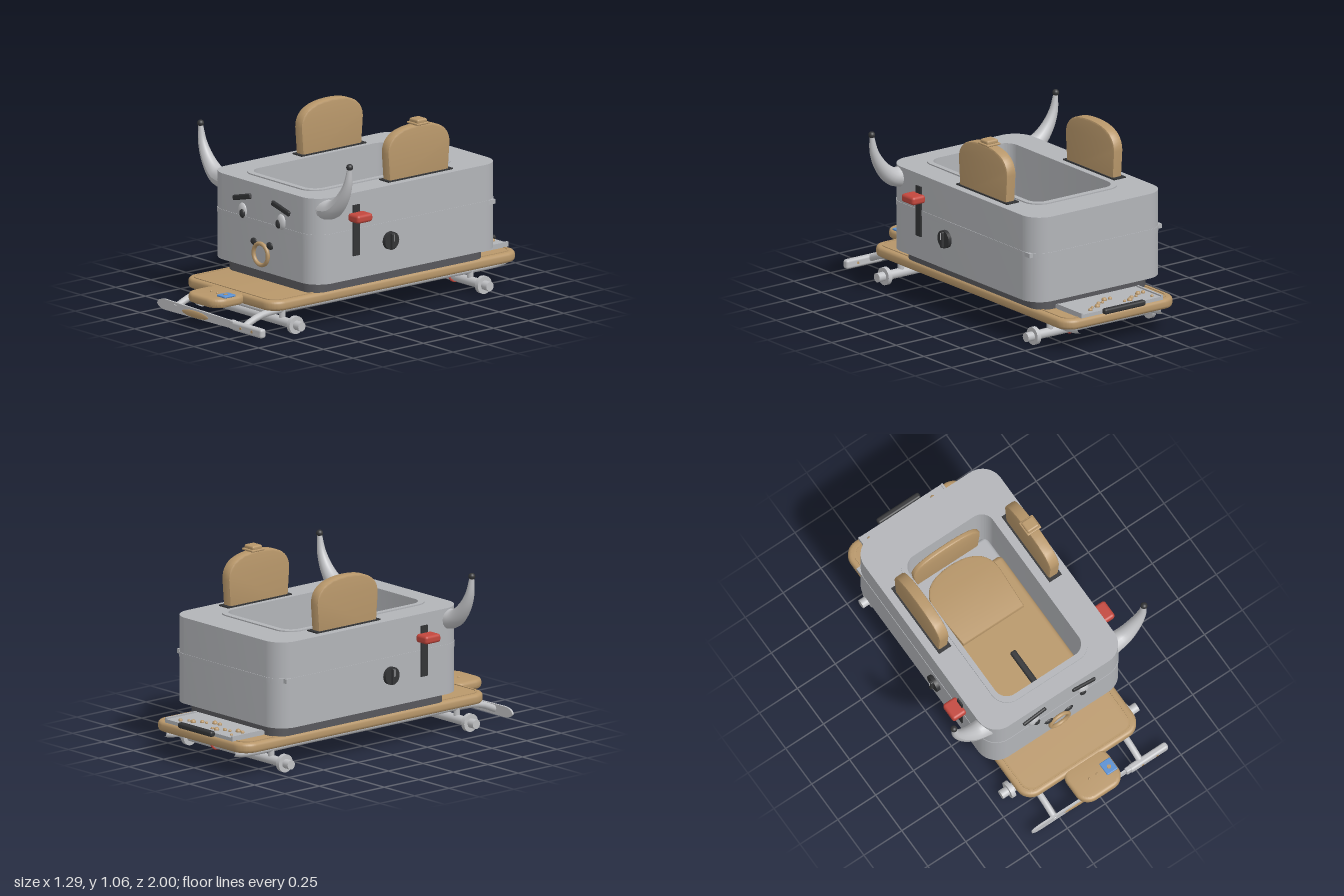
import * as THREE from 'three';
import { toCreasedNormals } from 'three/addons/utils/BufferGeometryUtils.js';
import { RoundedBoxGeometry } from 'three/addons/geometries/RoundedBoxGeometry.js';

const paint = (name, color) => Object.assign(new THREE.MeshStandardMaterial({ color }), { name });

// Rounded rectangle in plan; the shape's y is minus z
function planRect(Kind, hw, z0, z1, r) {
  const s = new Kind(), a = -z1, b = -z0;
  s.moveTo(-hw + r, a);
  s.lineTo(hw - r, a); s.absarc(hw - r, a + r, r, -Math.PI / 2, 0, false);
  s.lineTo(hw, b - r); s.absarc(hw - r, b - r, r, 0, Math.PI / 2, false);
  s.lineTo(-hw + r, b); s.absarc(-hw + r, b - r, r, Math.PI / 2, Math.PI, false);
  s.lineTo(-hw, a + r); s.absarc(-hw + r, a + r, r, Math.PI, Math.PI * 1.5, false);
  return s;
}

// Horizontal slab between two heights, with optional hole and rounded edge
function slab(outer, y0, y1, hole, bevel = 0) {
  if (hole) outer.holes.push(hole);
  const g = new THREE.ExtrudeGeometry(outer, {
    depth: y1 - y0 - 2 * bevel, curveSegments: 12, bevelEnabled: bevel > 0,
    bevelThickness: bevel, bevelSize: bevel, bevelOffset: -bevel, bevelSegments: 3,
  });
  g.rotateX(-Math.PI / 2).translate(0, y0 + bevel, 0);
  return toCreasedNormals(g, 0.6);
}

// Slice of bread standing on its flat end, centred on its thickness
function breadSlice(hw, h, t, bevel = 0.01) {
  const s = new THREE.Shape();
  s.moveTo(-hw * 0.93, 0);
  s.lineTo(hw * 0.93, 0);
  s.lineTo(hw, h * 0.6);
  s.bezierCurveTo(hw, h * 0.88, hw * 0.62, h, 0, h);
  s.bezierCurveTo(-hw * 0.62, h, -hw, h * 0.88, -hw, h * 0.6);
  const g = new THREE.ExtrudeGeometry(s, {
    depth: t - 2 * bevel, curveSegments: 14, bevelThickness: bevel,
    bevelSize: bevel, bevelOffset: -bevel, bevelSegments: 2,
  });
  return toCreasedNormals(g.translate(0, 0, bevel - t / 2), 0.6);
}

// Tube that narrows from r0 to r1
function taperTube(points, r0, r1, segs = 20, sides = 16) {
  const curve = new THREE.CatmullRomCurve3(points.map(p => new THREE.Vector3(...p)));
  const g = new THREE.TubeGeometry(curve, segs, 1, sides);
  const p = g.attributes.position, v = new THREE.Vector3();
  for (let i = 0; i < p.count; i++) {
    const t = Math.floor(i / (sides + 1)) / segs, c = curve.getPointAt(t);
    v.fromBufferAttribute(p, i).sub(c).multiplyScalar(r0 + (r1 - r0) * t).add(c);
    p.setXYZ(i, v.x, v.y, v.z);
  }
  g.computeVertexNormals();
  return g;
}

export function createModel() {
  const root = new THREE.Group();
  const metal = paint('brushed metal', 0xb2b4b8), pale = paint('pale metal', 0xc0c1c4);
  const dark = paint('dark base', 0x58585c), black = paint('black plastic', 0x333436);
  const tan = paint('toasted tan', 0xb8976a), red = paint('red', 0xc2473d), blue = paint('blue', 0x5a90d2);

  const add = (name, geo, mat, x = 0, y = 0, z = 0, rx = 0, ry = 0, rz = 0) => {
    const m = new THREE.Mesh(geo, mat);
    m.name = name;
    m.position.set(x, y, z);
    m.rotation.set(rx, ry, rz);
    root.add(m);
    return m;
  };
  const box = (w, h, d) => new THREE.BoxGeometry(w, h, d);
  const rbox = (w, h, d, r) => new RoundedBoxGeometry(w, h, d, 3, r);
  const cyl = (r, l, n = 24) => new THREE.CylinderGeometry(r, r, l, n);
  const ball = r => new THREE.SphereGeometry(r, 20, 14);
  const rect = (...a) => planRect(THREE.Shape, ...a), gap = (...a) => planRect(THREE.Path, ...a);
  const Q = Math.PI / 2;

  // Board with front tab
  add('board', slab(rect(0.385, -0.97, 0.8, 0.09), 0.14, 0.197, null, 0.018), tan);
  add('boardRim', slab(rect(0.355, -0.94, 0.775, 0.07), 0.195, 0.201, gap(0.345, -0.93, 0.765, 0.06)), tan);
  add('boardTab', slab(rect(0.14, 0.755, 1, 0.08), 0.142, 0.195, null, 0.018), tan);
  add('bluePad', rbox(0.07, 0.012, 0.08, 0.005), blue, 0.097, 0.199, 0.89);
  add('padButton', cyl(0.012, 0.006), tan, 0.097, 0.206, 0.895);
  for (const x of [-0.03, 0.02]) add('tabCrumb', ball(0.007), tan, x, 0.197, 0.89);

  // Hollow body
  add('base', slab(rect(0.383, -0.73, 0.51, 0.09), 0.197, 0.262), dark);
  add('bodyFloor', slab(rect(0.44, -0.765, 0.54, 0.11), 0.26, 0.31), metal);
  add('body', slab(rect(0.45, -0.775, 0.553, 0.12), 0.26, 0.743, gap(0.275, -0.55, 0.42, 0.075)), metal);
  add('openingRim', slab(rect(0.305, -0.585, 0.455, 0.1), 0.742, 0.75, gap(0.275, -0.55, 0.42, 0.075)), metal);
  add('seamBand', slab(rect(0.4525, -0.7775, 0.5555, 0.122), 0.51, 0.54, gap(0.44, -0.765, 0.543, 0.11)), metal);

  // Bed inside the body
  add('mattress', rbox(0.54, 0.06, 0.95, 0.02), metal, 0, 0.335, -0.065);
  add('blanket', rbox(0.54, 0.06, 0.81, 0.025), tan, 0, 0.37, 0.01);
  add('pillow', breadSlice(0.215, 0.42, 0.04), tan, 0, 0.41, -0.07, -Q);
  add('headboard', breadSlice(0.22, 0.3, 0.03), tan, 0, 0.34, -0.53);
  add('bedStick', rbox(0.035, 0.03, 0.3, 0.01), black, 0, 0.41, 0.26);

  for (const s of [-1, 1]) {
    // Slots and slices
    add('slot', box(0.08, 0.008, 0.46), black, s * 0.365, 0.746, -0.235);
    add('slice', breadSlice(0.22, 0.33, 0.062), tan, s * 0.365, 0.7, -0.232, 0, Q);

    // Horns
    const path = [[0.4, 0.675, 0.46], [0.49, 0.69, 0.46], [0.565, 0.76, 0.46], [0.612, 0.85, 0.46], [0.628, 0.945, 0.46]];
    add('horn', taperTube(path.map(([x, y, z]) => [s * x, y, z]), 0.062, 0.013), pale);
    add('hornRoot', ball(0.062), pale, s * 0.402, 0.675, 0.46);
    add('hornTip', ball(0.019), black, s * 0.628, 0.952, 0.46);

    // Face
    const eye = add('eye', ball(0.03), pale, s * 0.163, 0.568, 0.55);
    eye.scale.set(1.2, 1.5, 0.7);
    const pupil = add('pupil', ball(0.02), black, s * 0.152, 0.557, 0.566);
    pupil.scale.set(1, 1.25, 0.6);
    add('brow', rbox(0.153, 0.03, 0.02, 0.008), black, s * 0.163, 0.646, 0.557, 0, 0, -s * 0.25);
    const nostril = add('nostril', ball(0.025), black, s * 0.066, 0.414, 0.553);
    nostril.scale.set(1.1, 0.85, 0.5);

    // Side controls
    add('leverTrack', box(0.016, 0.285, 0.047), black, s * 0.451, 0.533, 0.267);
    add('lever', rbox(0.09, 0.047, 0.11, 0.016), red, s * 0.49, 0.612, 0.267);
    add('knob', cyl(0.05, 0.024), black, s * 0.46, 0.435, 0.025, 0, 0, Q);
    add('knobGrip', rbox(0.022, 0.09, 0.022, 0.006), black, s * 0.477, 0.435, 0.025);
    add('knobMark', box(0.004, 0.04, 0.005), pale, s * 0.488, 0.455, 0.025);
    add('sideStrip', box(0.012, 0.012, 0.385), tan, s * 0.384, 0.255, -0.02);
    add('rearHinge', box(0.03, 0.025, 0.045), metal, s * 0.437, 0.527, -0.705);

    // Runner rails, bent down at the front
    const rail = new THREE.CatmullRomCurve3([[-0.965, 0.135], [-0.9, 0.12], [-0.4, 0.118], [0.3, 0.118],
      [0.76, 0.116], [0.84, 0.1], [0.93, 0.062]].map(([z, y]) => new THREE.Vector3(s * 0.285, y, z)));
    add('rail', new THREE.TubeGeometry(rail, 40, 0.019, 12), pale);

    // Wheels and their struts
    for (const z of [0.65, -0.69]) {
      add('wheel', cyl(0.05, 0.025), pale, s * 0.393, 0.053, z, 0, 0, Q);
      add('wheelHub', cyl(0.026, 0.05), pale, s * 0.425, 0.053, z, 0, 0, Q);
      add('strut', cyl(0.018, 0.07, 12), pale, s * 0.285, 0.088, z);
    }
  }
  add('noseRing', new THREE.TorusGeometry(0.06, 0.0115, 14, 40), tan, 0, 0.356, 0.563);

  // Butter pat on one slice
  add('butterPlate', rbox(0.09, 0.012, 0.09, 0.005), tan, 0.365, 1.034, -0.25);
  add('butter', rbox(0.076, 0.026, 0.07, 0.01), tan, 0.365, 1.047, -0.25);

  // Axles and ladder rungs
  for (const z of [0.65, -0.69]) add('axle', cyl(0.026, 0.8), pale, 0, 0.053, z, 0, 0, Q);
  for (const z of [-0.35, 0, 0.35, 0.74]) add('rung', cyl(0.012, 0.57, 10), pale, 0, 0.118, z, 0, 0, Q);
  add('redLoop', new THREE.TorusGeometry(0.048, 0.006, 8, 24), red, 0.16, 0.075, -0.69, 0, Q);

  // Crumb tray at the rear
  add('crumbTray', box(0.55, 0.02, 0.24), metal, 0, 0.208, -0.845);
  for (const s of [-1, 1]) add('trayEdge', box(0.012, 0.028, 0.22), metal, s * 0.272, 0.212, -0.855);
  add('trayHandle', rbox(0.28, 0.032, 0.035, 0.012), black, 0, 0.215, -0.982);
  const crumbs = [[-0.23, -0.93], [-0.23, -0.85], [-0.195, -0.85], [-0.16, -0.88], [-0.125, -0.885], [-0.09, -0.915],
    [-0.055, -0.915], [-0.02, -0.83], [0.02, -0.83], [0.055, -0.86], [0.085, -0.865], [0.12, -0.9], [0.155, -0.9], [0.19, -0.93]];
  crumbs.forEach(([x, z], i) => add('crumb', ball(0.009 + (i % 3) * 0.003), tan, x, 0.22, z));

  // Butter knife as front bumper
  const blade = new THREE.Shape();
  blade.moveTo(0.21, 0.04);
  blade.lineTo(0.21, 0.082);
  blade.lineTo(-0.37, 0.093);
  blade.quadraticCurveTo(-0.43, 0.09, -0.435, 0.06);
  blade.quadraticCurveTo(-0.42, 0.033, -0.36, 0.033);
  add('knifeBlade', new THREE.ExtrudeGeometry(blade, { depth: 0.012, bevelEnabled: false }), pale, 0, 0, 0.921);
  add('knifeCollar', rbox(0.035, 0.05, 0.03, 0.008), pale, 0.2, 0.063, 0.928);
  add('knifeHandle', rbox(0.25, 0.052, 0.04, 0.014), pale, 0.332, 0.06, 0.928);
  for (const x of [0.285, 0.38]) add('rivet', cyl(0.008, 0.042, 12), tan, x, 0.06, 0.929, Q);
  const smear = add('butterSmear', ball(0.1), tan, -0.115, 0.057, 0.933);
  smear.scale.set(1.1, 0.2, 0.06);

  return root;
}
